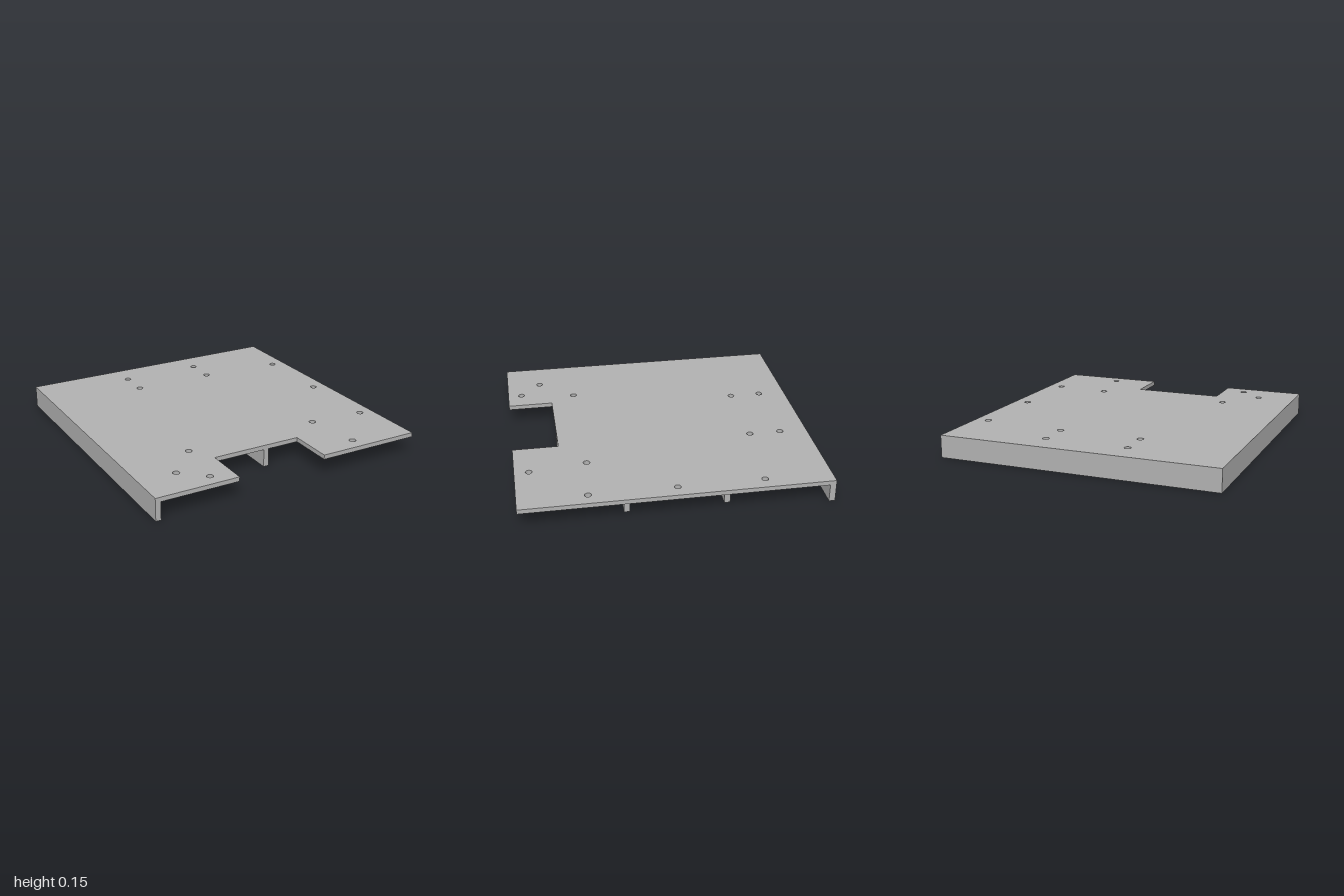
import * as THREE from 'three';
import { toCreasedNormals } from 'three/addons/utils/BufferGeometryUtils.js';

const TOP = 0.15, UNDER = 0.12;
const HOLE = 0.022;

// Screw positions as [x, z]
const bossSpots = [
  [-0.28, -0.815], [0.28, -0.815], [-0.28, -0.605], [0.28, -0.605],
  [-0.475, 0.53], [0.47, 0.53], [-0.685, 0.765],
];
const plainSpots = [[-0.53, 0.905], [0.525, 0.905], [0.847, -0.56], [0.847, 0], [0.847, 0.56]];

function circle(Type, x, y, r) {
  const c = new Type();
  c.absarc(x, y, r, 0, Math.PI * 2, false);
  return c;
}

function hexagon(r) {
  const pts = [];
  for (let i = 0; i < 6; i++) {
    const a = (i * Math.PI) / 3;
    pts.push(new THREE.Vector2(r * Math.cos(a), r * Math.sin(a)));
  }
  return new THREE.Path(pts);
}

// Extrude a plan shape (drawn with y = -z) upward from y0 to y1
function slab(shape, y0, y1, segments) {
  const g = new THREE.ExtrudeGeometry(shape, { depth: y1 - y0, bevelEnabled: false, curveSegments: segments });
  g.rotateX(-Math.PI / 2);
  g.translate(0, y0, 0);
  return toCreasedNormals(g, 0.6);
}

export function createModel() {
  const root = new THREE.Group();
  root.name = 'ribbedCover';
  const grey = new THREE.MeshStandardMaterial({ color: 0xb2b2b2 });
  grey.name = 'grey';

  const add = (name, geometry, parent = root) => {
    const m = new THREE.Mesh(geometry, grey);
    m.name = name;
    parent.add(m);
    return m;
  };
  const bar = (name, x0, x1, z0, z1) => {
    const m = add(name, new THREE.BoxGeometry(x1 - x0, UNDER, z1 - z0));
    m.position.set((x0 + x1) / 2, UNDER / 2, (z0 + z1) / 2);
  };

  // Top plate with a front notch and screw holes
  const outline = [
    [-0.94, 1], [-0.94, -1], [-0.38, -1], [-0.38, -0.695],
    [0.235, -0.695], [0.235, -1], [0.94, -1], [0.94, 1],
  ].map(([x, y]) => new THREE.Vector2(x, y));
  const plate = new THREE.Shape(outline);
  for (const [x, z] of [...bossSpots, ...plainSpots]) plate.holes.push(circle(THREE.Path, x, -z, HOLE));
  add('topPlate', slab(plate, UNDER, TOP, 10));

  // Outer walls on the right and back
  bar('sideWall', -0.94, -0.905, -1, 1);
  bar('backWall', -0.905, 0.94, -1, -0.96);

  // Stiffening ribs
  bar('centreRib', -0.018, 0.018, -0.905, 0.695);
  for (const z of [-0.32, 0.32]) bar('crossRib', -0.85, 0.85, z - 0.019, z + 0.019);

  // Round bosses with a hexagonal nut pocket below a screw hole
  const pocketed = circle(THREE.Shape, 0, 0, 0.093);
  pocketed.holes.push(hexagon(0.046));
  const drilled = circle(THREE.Shape, 0, 0, 0.093);
  drilled.holes.push(circle(THREE.Path, 0, 0, HOLE));
  const lower = slab(pocketed, 0.05, 0.09, 20);
  const upper = slab(drilled, 0.09, UNDER, 20);
  for (const [x, z] of bossSpots) {
    const boss = new THREE.Group();
    boss.name = 'boss';
    boss.position.set(x, 0, z);
    add('nutPocket', lower, boss);
    add('bossBase', upper, boss);
    root.add(boss);
  }
  return root;
}
